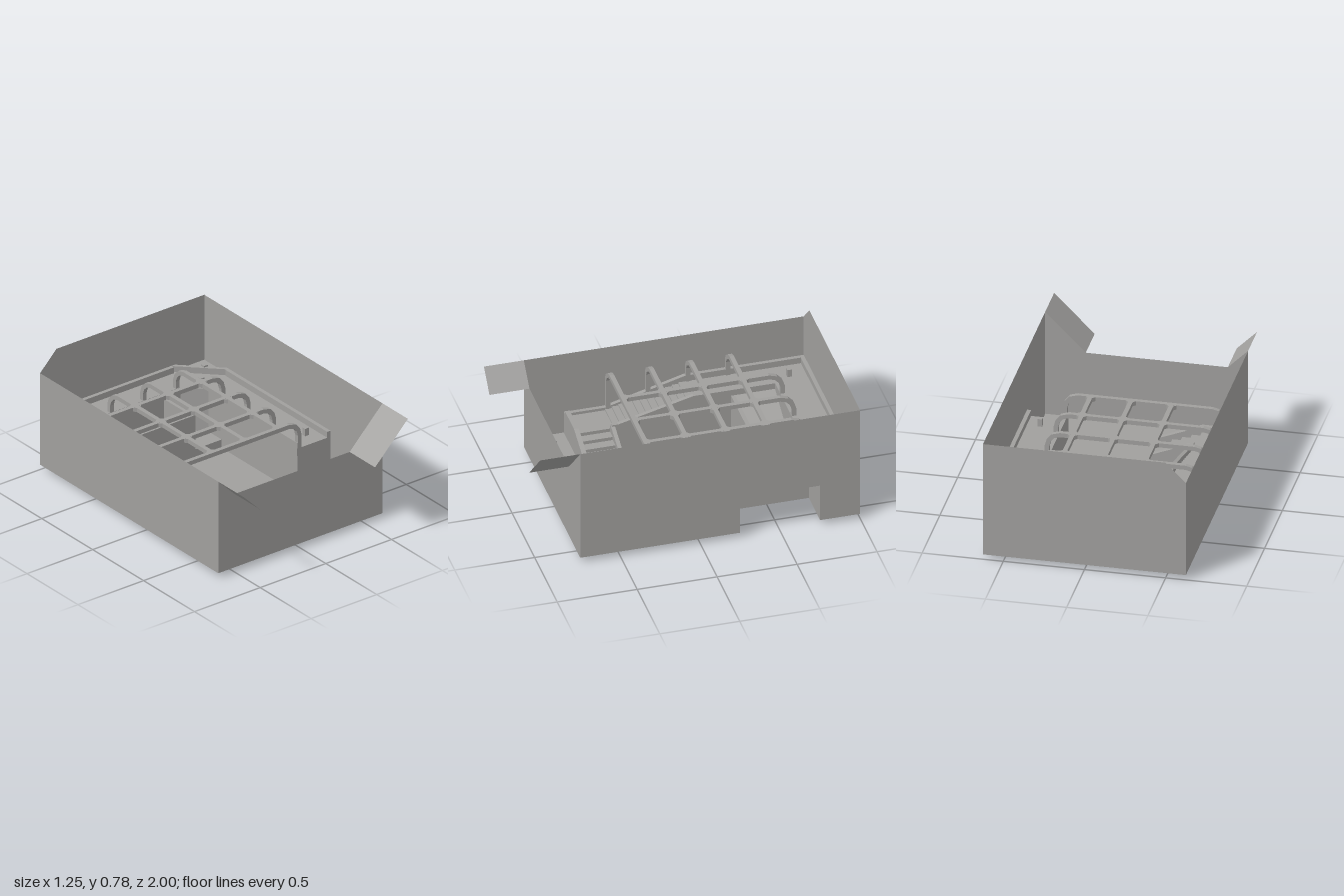
import * as THREE from 'three';

export function createModel() {
  const model = new THREE.Group();
  const stone = new THREE.MeshStandardMaterial({ color: 0xa09f9d, side: THREE.DoubleSide });
  stone.name = 'warm grey';

  function add(name, geometry) {
    const mesh = new THREE.Mesh(geometry, stone);
    mesh.name = name;
    model.add(mesh);
    return mesh;
  }
  function box(name, x0, x1, y0, y1, z0, z1) {
    const g = new THREE.BoxGeometry(x1 - x0, y1 - y0, z1 - z0);
    return add(name, g.translate((x0 + x1) / 2, (y0 + y1) / 2, (z0 + z1) / 2));
  }
  const shapeOf = (pts) => new THREE.Shape(pts.map(([a, b]) => new THREE.Vector2(a, b)));
  const extrude = (shape, depth) => new THREE.ExtrudeGeometry(shape, { depth, bevelEnabled: false });

  // Flat sheet in the xy plane
  const sheetXY = (name, pts, z) => add(name, new THREE.ShapeGeometry(shapeOf(pts)).translate(0, 0, z));
  // Flat sheet in the zy plane
  const sheetZY = (name, pts, x) => add(name,
    new THREE.ShapeGeometry(shapeOf(pts.map(([z, y]) => [-z, y]))).rotateY(Math.PI / 2).translate(x, 0, 0));
  // xy profile pushed along z, and zy profile pushed along x
  const prismZ = (name, pts, z0, z1) => add(name, extrude(shapeOf(pts), z1 - z0).translate(0, 0, z0));
  const prismX = (name, pts, x0, x1) => add(name,
    extrude(shapeOf(pts.map(([z, y]) => [-z, y])), x1 - x0).rotateY(Math.PI / 2).translate(x0, 0, 0));
  // xz plan raised from y0 to y1, or a flat sheet when they are equal
  function plan(name, pts, y0, y1 = y0) {
    const shape = shapeOf(pts.map(([x, z]) => [x, -z]));
    const g = y1 > y0 ? extrude(shape, y1 - y0) : new THREE.ShapeGeometry(shape);
    return add(name, g.rotateX(-Math.PI / 2).translate(0, y0, 0));
  }
  // Quad from four corners
  function quad(name, a, b, c, d) {
    const g = new THREE.BufferGeometry();
    g.setAttribute('position', new THREE.Float32BufferAttribute([...a, ...b, ...c, ...d], 3));
    g.setIndex([0, 1, 2, 0, 2, 3]);
    g.computeVertexNormals();
    return add(name, g);
  }
  // Upright thin walls following a path in plan
  function walls(name, pts, y0, y1) {
    for (let i = 0; i + 1 < pts.length; i++) {
      const [[x0, z0], [x1, z1]] = [pts[i], pts[i + 1]];
      quad(name, [x0, y0, z0], [x1, y0, z1], [x1, y1, z1], [x0, y1, z0]);
    }
  }

  const X = 0.625, B = 0.033, T = 0.783, F = 0.09, D = 0.34, R = 0.38;

  // Thin outer shell with clipped top corners
  sheetXY('frontWall', [[-X, B], [X, B], [X, T], [0.375, 0.533], [-0.5, 0.533], [-X, 0.658]], 0.75);
  sheetXY('backWall', [[-X, B], [X, B], [X, T], [-0.5, T], [-X, 0.658]], -1);
  sheetZY('leftSideWall', [[0.75, B], [-0.25, B], [-0.25, 0.283], [-0.75, 0.283], [-0.75, B], [-1, B], [-1, T], [0.75, T]], X);
  sheetZY('rightSideWall', [[0.75, B], [-1, B], [-1, 0.658], [0.75, 0.658]], -X);
  // Sloping flaps ahead of the front wall
  quad('smallFlap', [-X, 0.658, 0.75], [-X, 0.658, 1], [-0.5, 0.533, 1], [-0.5, 0.533, 0.75]);
  quad('largeFlap', [0.375, 0.533, 0.75], [0.375, 0.533, 1], [X, T, 1], [X, T, 0.75]);

  // Alcove cut into the side, open below
  walls('alcoveWall', [[X, -0.25], [0.375, -0.25], [0.375, -0.75], [X, -0.75]], B, 0.283);

  // Front ground, a ramp down from it, and the lower floor behind
  plan('frontGround', [[-X, 0.75], [X, 0.75], [X, 0.25], [-0.375, 0.25], [-0.375, -0.25], [-X, -0.25]], F);
  quad('groundRamp', [-0.125, F, 0.25], [X, F, 0.25], [X, B, 0], [-0.125, B, 0]);
  plan('lowerFloor',
    [[-0.375, 0.25], [-0.125, 0.25], [-0.125, 0], [X, 0], [X, -0.25], [0.375, -0.25], [0.375, -0.5], [0.125, -0.5], [0.125, -0.75], [-0.375, -0.75]], B);
  sheetZY('rampSide', [[0.25, F], [0, B], [0.25, B]], -0.125);
  walls('floorStep', [[-0.125, 0.25], [-0.375, 0.25], [-0.375, -0.25]], B, F);
  // Square skirt under the lower floor, open below
  walls('footSkirt', [[-0.375, -0.25], [-0.125, -0.25], [-0.125, 0], [-0.375, 0], [-0.375, -0.25]], 0, B);
  // Landing and back strip, a step higher than the lower floor
  plan('landing', [[0.125, -0.5], [0.375, -0.5], [0.375, -0.75], [0.125, -0.75]], F);
  walls('landingStep', [[0.375, -0.5], [0.125, -0.5], [0.125, -0.75]], B, F);
  plan('backStrip', [[-0.375, -0.75], [X, -0.75], [X, -1], [-0.375, -1]], F);
  walls('backStripStep', [[-0.375, -0.75], [0.375, -0.75]], B, F);
  walls('underStairWall', [[-X, -0.25], [-0.375, -0.25]], B, 0.285);

  // Raised deck around the room
  plan('deck',
    [[-X, -1], [X, -1], [X, 0.24], [0.38, 0.24], [0.38, -0.64], [0.25, -0.77], [-0.39, -0.77], [-0.39, -0.25], [-X, -0.25]],
    0.285, D);
  box('deckFrontWall', 0.375, X, F, D, 0.22, 0.24);

  // Room walls, topped by a parapet with a cut corner
  const inner = [[-0.375, -0.25], [-0.375, -0.75], [0.25, -0.75], [0.37, -0.63], [0.37, 0.24]];
  walls('roomWall', inner, B, D);
  plan('roomParapet',
    [[0.4, 0.24], [0.4, -0.64], [0.26, -0.78], [-0.38, -0.78], [-0.4, -0.76], [-0.4, -0.25], ...inner], D - 0.05, R);
  box('stairwellWall', -0.375, 0.15, B, D, -0.5, -0.475);
  box('stairwellEnd', 0.125, 0.15, F, D, -0.75, -0.5);
  quad('stairwellRamp', [-0.375, D, -0.5], [0.125, F, -0.5], [0.125, F, -0.75], [-0.375, D, -0.75]);

  // Outer parapet
  prismX('sideParapet', [[0.5, F], [0.5, 0.24], [0.25, 0.24], [-0.25, R], [-1, R], [-1, D], [-0.25, D], [-0.25, F]], -X, -0.6);
  box('backParapet', -X, 0.375, D, R, -1, -0.975);
  plan('cornerParapet', [[0.37, -1], [0.4, -1], [X, -0.775], [X, -0.745]], D, R);
  box('sideParapet', 0.6, X, D, R, -0.76, 0.24);

  // First flight rises towards the side wall, second flight towards the back
  const flight1 = [[-0.6, F]];
  for (let i = 0; i < 6; i++) {
    const x = -0.1 - i * 0.06, y = F + i * 0.022;
    flight1.push([x, y], [x, y + 0.022]);
  }
  flight1.push([-0.6, 0.222]);
  prismZ('firstStairs', flight1, 0.25, 0.47);
  const flight2 = [[0.25, 0.17]], steps = 12;
  for (let i = 0; i < steps; i++) {
    const z = 0.25 - i * 0.5 / steps, y = 0.222 + (i + 1) * 0.118 / steps;
    flight2.push([z, y], [z - 0.5 / steps, y]);
  }
  flight2.push([-0.25, 0.285]);
  prismX('secondStairs', flight2, -0.6, -0.4);
  const rail = [[-0.1, F], [-0.1, 0.14], [-0.4, 0.26], [-0.6, 0.26], [-0.6, F]];
  prismZ('outerStairRail', rail, 0.47, 0.5);
  prismZ('innerStairRail', [...rail.slice(0, 3), [-0.4, F]], 0.25, 0.275);
  prismX('stairStringer', [[0.27, F], [0.27, 0.26], [0.23, 0.26], [-0.24, R], [-0.25, R], [-0.25, F]], -0.4, -0.375);

  // Cage of hoops: outline of a bar following a path of [along, y] points
  const W = 0.028;
  function barOutline(path) {
    const pts = path.map(([a, y]) => new THREE.Vector2(a, y));
    const under = pts.map((p, i) => {
      const t = pts[Math.min(i + 1, pts.length - 1)].clone().sub(pts[Math.max(i - 1, 0)]).normalize();
      return new THREE.Vector2(p.x + t.y * W, p.y - t.x * W);
    });
    return [...pts, ...under.reverse()].map((p) => [p.x, p.y]);
  }
  const crossAt = [-0.52, -0.27, -0.02, 0.23], longAt = [-0.27, -0.02, 0.23];
  for (const z of crossAt) {
    const foot = z > 0.1 ? 0.2 : 0.3;
    prismZ('crossHoop', barOutline(
      [[-0.622, foot], [-0.622, 0.44], [-0.605, 0.48], [-0.56, 0.515], [-0.52, 0.525], [0.31, 0.525], [0.36, 0.51], [0.39, 0.475], [0.402, 0.43], [0.402, D]],
    ), z - W / 2, z + W / 2);
  }
  for (const x of longAt) {
    prismX('longHoop', barOutline(
      [[-0.78, D], [-0.78, 0.43], [-0.765, 0.475], [-0.73, 0.51], [-0.68, 0.525], [0.24, 0.525]],
    ), x - W / 2, x + W / 2);
  }
  // Small gussets round the corners where the bars cross
  const r = 0.045;
  for (const x of longAt) for (const z of crossAt) {
    plan('barJoint', [[x - r, z], [x, z - r], [x + r, z], [x, z > 0.2 ? z + 0.01 : z + r]], 0.498, 0.5245);
  }

  // Small lamp blocks on the deck and the ground
  const lamps = [[-0.49, -0.87, D], [0.53, -0.875, D], [0.415, -0.76, D], [0.52, 0.13, D], [-0.49, 0.6, F], [0.53, 0.6, F]];
  for (const [x, z, y] of lamps) box('lamp', x - 0.014, x + 0.014, y, y + 0.05, z - 0.014, z + 0.014);

  return model;
}
